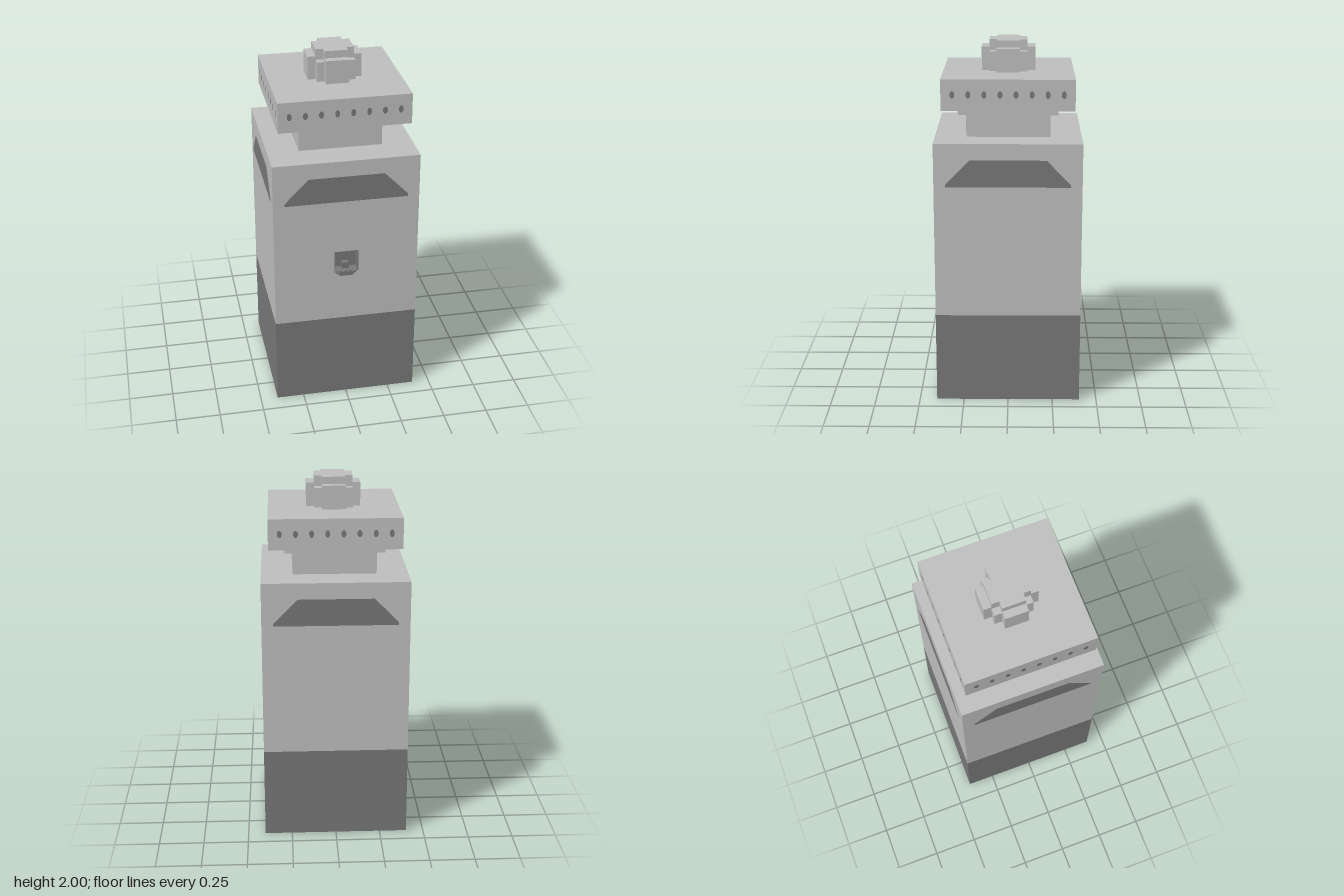
import * as THREE from 'three';

export function createModel() {
  const model = new THREE.Group();
  const light = new THREE.MeshStandardMaterial({ color: 0xbebebe });
  light.name = 'lightGrey';
  const dark = new THREE.MeshStandardMaterial({ color: 0x787878 });
  dark.name = 'darkGrey';

  const add = (name, geometry, material, parent = model) => {
    const mesh = new THREE.Mesh(geometry, material);
    mesh.name = name;
    parent.add(mesh);
    return mesh;
  };
  // Box given by its extents, bottom and top
  const block = (name, w, d, y0, y1, material = light, z = 0, x = 0) => {
    const mesh = add(name, new THREE.BoxGeometry(w, y1 - y0, d), material);
    mesh.position.set(x, (y0 + y1) / 2, z);
    return mesh;
  };
  const polygon = (points) => new THREE.Shape(points.map(([x, y]) => new THREE.Vector2(x, y)));

  const half = 0.403, baseTop = 0.51, bodyTop = 1.49;
  const depth = 0.06; // niche depth

  // Plinth and main shaft; the front wall is a slab with a niche cut into it
  block('plinth', half * 2, half * 2, 0, baseTop, dark);
  block('shaft', half * 2, half * 2 - depth, baseTop, bodyTop, light, -depth / 2);
  const wall = polygon([[-half, baseTop], [half, baseTop], [half, bodyTop], [-half, bodyTop]]);
  wall.holes.push(polygon([[-0.068, 0.81], [-0.068, 0.94], [0.068, 0.94], [0.068, 0.81]]));
  add('frontWall', new THREE.ExtrudeGeometry(wall, { depth, bevelEnabled: false }), light)
    .position.z = half - depth;

  // Niche lining, small post and sill
  const nicheZ = half - depth / 2;
  block('nicheBack', 0.136, 0.004, 0.81, 0.94, dark, half - depth + 0.002);
  block('nicheFloor', 0.136, depth, 0.81, 0.814, dark, nicheZ);
  block('nicheCeiling', 0.136, depth, 0.936, 0.94, dark, nicheZ);
  for (const s of [-1, 1]) block('nicheSide', 0.004, depth, 0.81, 0.94, dark, nicheZ, s * 0.066);
  block('nichePost', 0.04, 0.03, 0.81, 0.85, dark, half - depth + 0.015);
  const sill = polygon([[-0.055, 0.81], [-0.055, 0.797], [-0.04, 0.797], [-0.04, 0.785],
    [0.04, 0.785], [0.04, 0.797], [0.055, 0.797], [0.055, 0.81]]);
  add('nicheSill', new THREE.ShapeGeometry(sill), dark).position.z = half + 0.002;

  // Neck, collar and overhanging head
  const headHalf = 0.36;
  block('neck', 0.46, 0.46, bodyTop, 1.62);
  block('collar', 0.546, 0.546, 1.62, 1.66);
  block('head', headHalf * 2, headHalf * 2, 1.66, 1.83);

  // Cross-shaped turret: square core, lower arms and a raised cross on top
  block('turretCore', 0.21, 0.21, 1.83, 1.94);
  block('turretArmsAcross', 0.296, 0.128, 1.83, 1.96);
  block('turretArmsAlong', 0.128, 0.296, 1.83, 1.96);
  block('turretCapAcross', 0.21, 0.128, 1.96, 2);
  block('turretCapAlong', 0.128, 0.21, 1.96, 2);

  // Sloped panels and a row of portholes on every side
  const panel = new THREE.ShapeGeometry(polygon(
    [[-0.34, 1.25], [0.34, 1.25], [0.34, 1.265], [0.208, 1.4], [-0.208, 1.4], [-0.34, 1.265]]));
  const porthole = new THREE.CircleGeometry(1, 8).rotateZ(Math.PI / 8).scale(0.0135, 0.021, 1);
  for (let i = 0; i < 4; i++) {
    const side = new THREE.Group();
    side.name = 'sideDetails';
    side.rotation.y = i * Math.PI / 2;
    add('slopedPanel', panel, dark, side).position.z = half + 0.002;
    for (let k = 0; k < 8; k++) {
      add('porthole', porthole, dark, side)
        .position.set(-0.299 + k * 0.0854, 1.748, headHalf + 0.002);
    }
    model.add(side);
  }
  return model;
}
